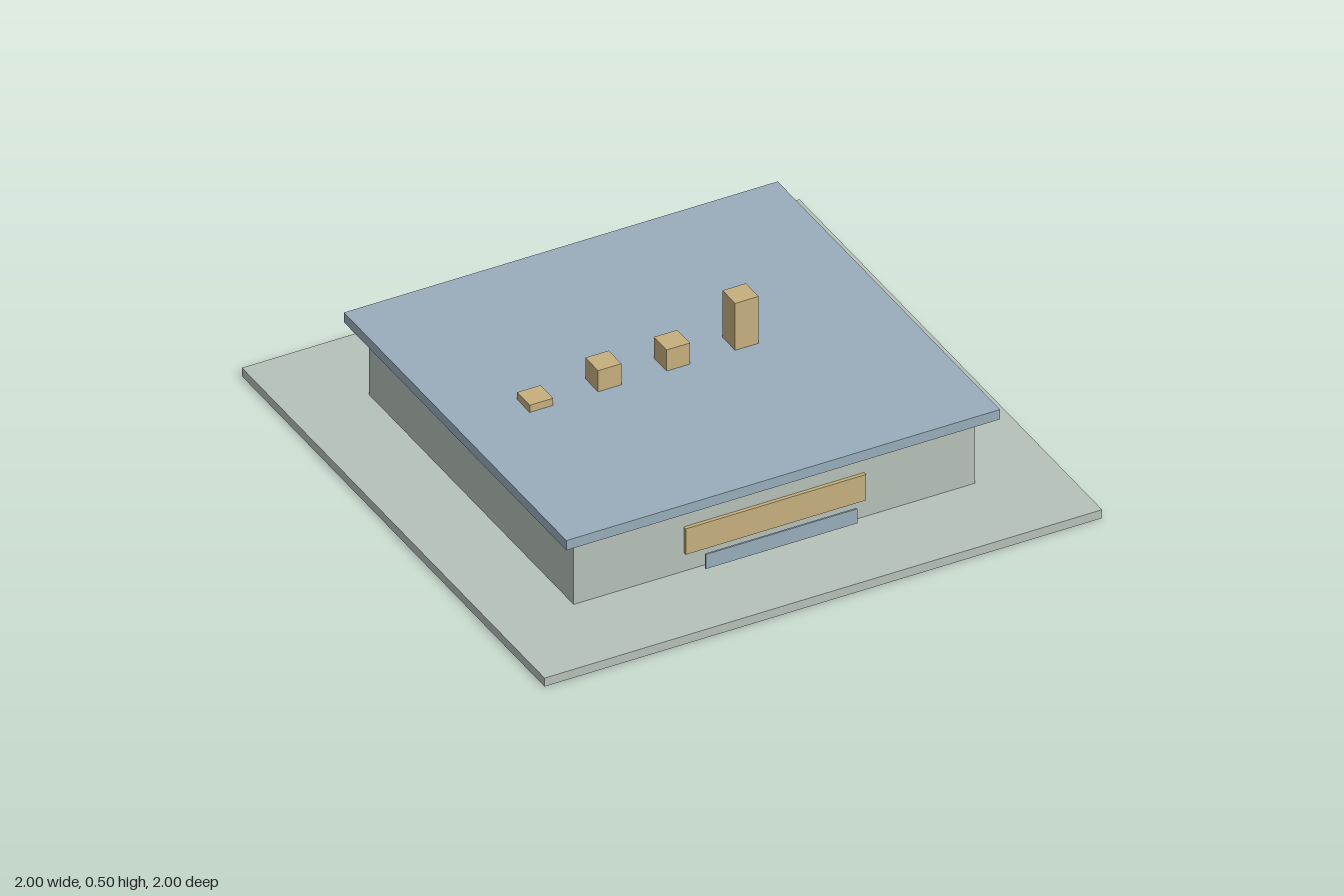
import * as THREE from 'three';

export function createModel() {
  const model = new THREE.Group();
  model.name = 'pavilion';

  const material = (name, color) => {
    const m = new THREE.MeshStandardMaterial({ color });
    m.name = name;
    return m;
  };
  const sage = material('sage', 0xb5c1b9);
  const blue = material('slateBlue', 0x99adbc);
  const tan = material('tan', 0xc6af7d);

  // Box given by its extents along each axis
  const box = (name, mat, [x0, x1], [y0, y1], [z0, z1]) => {
    const mesh = new THREE.Mesh(new THREE.BoxGeometry(x1 - x0, y1 - y0, z1 - z0), mat);
    mesh.position.set((x0 + x1) / 2, (y0 + y1) / 2, (z0 + z1) / 2);
    mesh.name = name;
    model.add(mesh);
  };

  // Ground slab, walls and overhanging roof
  box('groundSlab', sage, [-1, 1], [0, 0.032], [-1, 1]);
  box('walls', sage, [-0.72, 0.72], [0.032, 0.29], [-0.677, 0.677]);
  box('roof', blue, [-0.778, 0.778], [0.29, 0.327], [-0.735, 0.735]);

  // Front panel on the wall and the thin plate standing before it
  box('frontPanel', tan, [-0.325, 0.322], [0.102, 0.2], [0.677, 0.69]);
  box('frontPlate', blue, [-0.273, 0.27], [0.053, 0.108], [0.721, 0.727]);

  // Row of roof blocks, each with its own height
  [[-0.491, 0.354], [-0.246, 0.407], [0, 0.407], [0.246, 0.505]].forEach(([x, top], i) => {
    box(`roofBlock${i + 1}`, tan, [x - 0.042, x + 0.042], [0.327, top], [-0.042, 0.042]);
  });

  return model;
}
